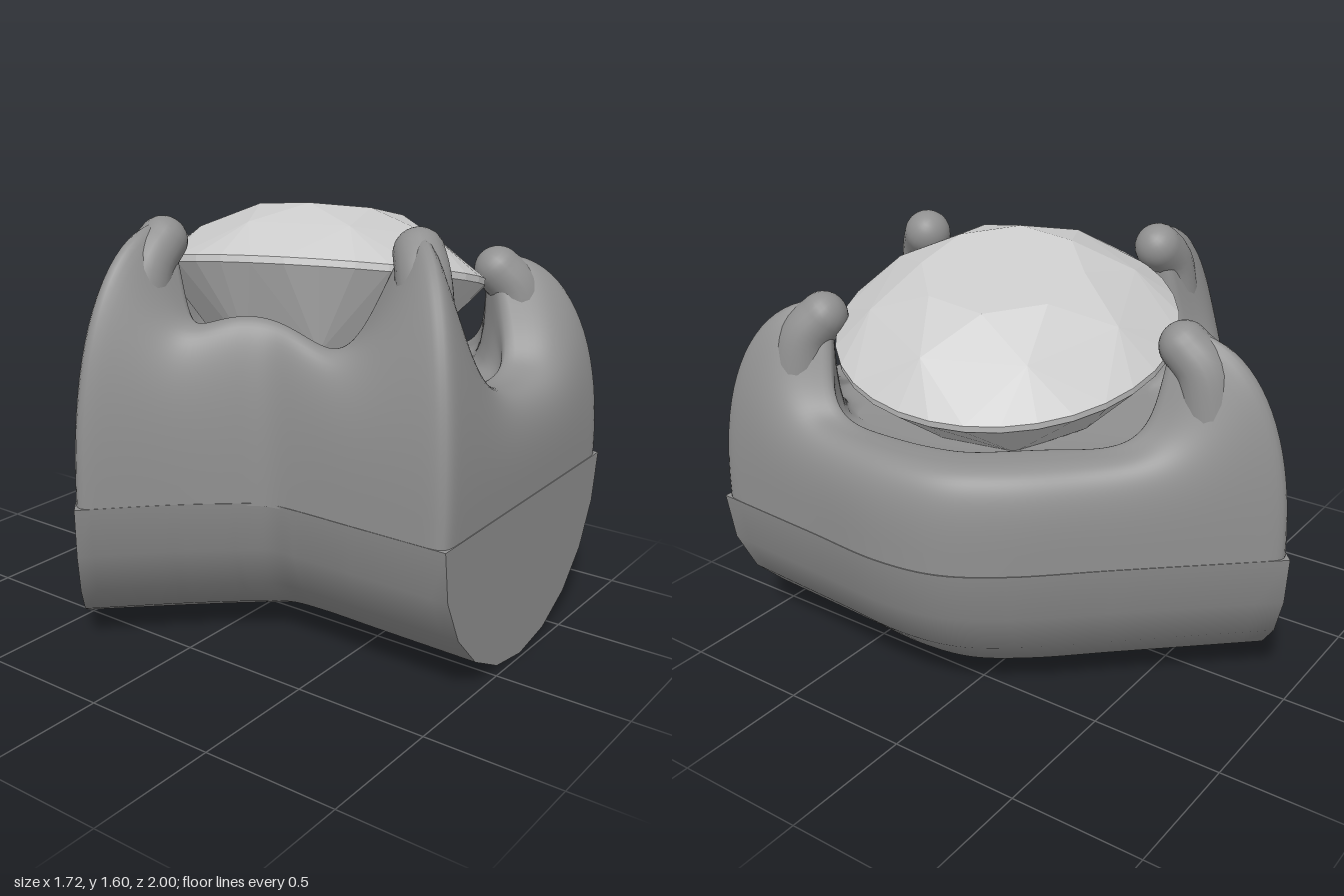
import * as THREE from 'three';
import { mergeVertices } from 'three/addons/utils/BufferGeometryUtils.js';
import { ConvexGeometry } from 'three/addons/geometries/ConvexGeometry.js';

const V = (x, y, z) => new THREE.Vector3(x, y, z);
const BASE = 0.61; // height of the seam between the lower channel and the setting
const RIM = 0.975; // height of the rim between the prongs
const CENTRE = V(0.2, 0, 0.06);

// Surface over a grid of points; faces point along (i direction) x (j direction)
function grid(ni, nj, point) {
  const pos = [], index = [];
  for (let i = 0; i <= ni; i++) {
    for (let j = 0; j <= nj; j++) {
      pos.push(...point(i, j).toArray());
      if (i === ni || j === nj) continue;
      const a = i * (nj + 1) + j, b = a + nj + 1;
      index.push(a, b, b + 1, a, b + 1, a + 1);
    }
  }
  let g = new THREE.BufferGeometry();
  g.setAttribute('position', new THREE.Float32BufferAttribute(pos, 3));
  g.setIndex(index);
  g = mergeVertices(g, 1e-5);
  g.computeVertexNormals();
  return g;
}

function part(name, geo, mat) {
  const mesh = new THREE.Mesh(geo, mat);
  mesh.name = name;
  return mesh;
}

// Plan edges of the bent channel, from the front to the back
const innerPts = [[-0.4, 0.998], [-0.4, 0.62], [-0.4, 0.38], [-0.41, 0.28], [-0.48, 0.19], [-0.62, 0.03], [-0.86, -0.2]];
const outerPts = [[0.81, 0.975], [0.84, 0.5], [0.86, 0.17], [0.82, -0.06], [0.7, -0.26], [0.46, -0.53], [0.05, -1]];
const toCurve = (pts) => new THREE.CatmullRomCurve3(pts.map(([x, z]) => V(x, 0, z)));
const inner = toCurve(innerPts), outer = toCurve(outerPts);

// Prongs: corner in plan, peak height, lean of the peak, spread at the foot
const PRONGS = [
  { name: 'frontRightProng', at: V(-0.4, 0, 0.99), peak: 1.57, lean: V(0.34, 0, -0.33), spread: 0.26 },
  { name: 'frontLeftProng', at: V(0.81, 0, 0.97), peak: 1.415, lean: V(-0.24, 0, -0.34), spread: 0.19 },
  { name: 'backProng', at: V(0.05, 0, -1), peak: 1.415, lean: V(0.06, 0, 0.41), spread: 0.22 },
  { name: 'rightProng', at: V(-0.86, 0, -0.2), peak: 1.57, lean: V(0.46, 0, 0.02), spread: 0.23 },
];
// Rim rises: one under each prong, and the raised wall at the inside of the bend
const RISES = [
  ...PRONGS.map((p) => ({ ...p, peak: p.peak - 0.02, power: 1.55 })),
  { at: V(-0.46, 0, 0.25), peak: 1.24, lean: V(0.1, 0, -0.07), spread: 0.36, power: 2 },
];

// Half-round channel swept round the bend, closed at the ends and on top
function lowerChannel(mat) {
  const group = new THREE.Group();
  group.name = 'lowerChannel';
  const N = 36, M = 10;
  const arc = (i, j) => {
    const a = (j / M) * Math.PI;
    const p = inner.getPoint(i / N).lerp(outer.getPoint(i / N), (1 - Math.cos(a)) / 2);
    return p.setY(BASE * (1 - Math.sin(a)));
  };
  const cap = (station, flip) => grid(M, 1, (i, j) => {
    const p = arc(station, flip ? M - i : i);
    return j ? p.setY(BASE) : p;
  });
  group.add(
    part('channelWall', grid(N, M, arc), mat),
    part('frontEnd', cap(0, false), mat),
    part('backEnd', cap(N, true), mat),
    part('channelTop', grid(N, 1, (i, j) => arc(i, j ? 0 : M)), mat),
  );
  return group;
}

// Evenly spaced plan outline, corners softened
function settingOutline(count) {
  const path = new THREE.CurvePath();
  const line = (a, b) => path.add(new THREE.LineCurve3(V(a[0], 0, a[1]), V(b[0], 0, b[1])));
  line(innerPts[0], outerPts[0]);
  path.add(outer);
  line(outerPts[6], innerPts[6]);
  path.add(toCurve([...innerPts].reverse()));
  let pts = path.getSpacedPoints(count).slice(0, count);
  for (let pass = 0; pass < 5; pass++) {
    pts = pts.map((p, i) => p.clone().multiplyScalar(2)
      .add(pts[(i + 1) % count]).add(pts[(i + count - 1) % count]).multiplyScalar(0.25));
  }
  return pts;
}

// Setting: one skin that climbs the wall, rolls over the rim and drops to the floor
function setting(mat) {
  const COUNT = 260, RISE = 20, FLOOR = 0.94;
  // inside of the rim: distance past the ridge, share of the height left
  const inside = [[0.02, 0.985], [0.04, 0.94], [0.05, 0.86], [0.055, 0.72], [0.055, 0.55],
    [0.06, 0.4], [0.075, 0.25], [0.1, 0.12], [0.15, 0.04], [0.22, 0]];
  const columns = settingOutline(COUNT).map((p) => {
    const toMid = CENTRE.clone().sub(p).normalize();
    const lean = V(0, 0, 0);
    let top = RIM, rest = 1;
    for (const r of RISES) {
      const w = Math.exp(-((p.distanceTo(r.at) / r.spread) ** r.power));
      top += w * (r.peak - RIM);
      lean.addScaledVector(r.lean, w);
      rest -= w;
    }
    rest = Math.max(rest, 0);
    lean.addScaledVector(toMid, 0.18 * rest);
    const foot = p.clone().addScaledVector(toMid, 0.003);
    // the low rim has a square shoulder, the prongs a round back
    const power = 0.87 - 0.3 * rest;
    const column = [];
    for (let k = 0; k <= RISE; k++) {
      const a = (k / RISE) * Math.PI / 2;
      const side = 1 - Math.max(Math.cos(a), 0) ** power;
      column.push(foot.clone().addScaledVector(lean, side)
        .setY(BASE - 0.01 + (top - BASE + 0.01) * Math.sin(a) ** power));
    }
    const ridge = column[RISE];
    for (const [d, f] of inside) {
      column.push(ridge.clone().addScaledVector(toMid, d * (0.4 + 0.6 * rest)).setY(FLOOR + (top - FLOOR) * f));
    }
    column.push(CENTRE.clone().setY(FLOOR - 0.01));
    return column;
  });
  return part('setting', grid(COUNT, columns[0].length - 1, (i, j) => columns[i % COUNT][j]), mat);
}

// Thumb-like prong: tapered sweep up the corner, bending in to a round tip
function prong({ name, at, peak, lean }, mat) {
  const N = 20, TIP = 8, SIDES = 20;
  const path = new THREE.CatmullRomCurve3(
    [[0.72, 0.88], [0.77, peak - 0.32], [0.85, peak - 0.16], [1.01, peak - 0.088]]
      .map(([f, y]) => at.clone().addScaledVector(lean, f).setY(y)));
  const { tangents, normals, binormals } = path.computeFrenetFrames(N);
  return part(name, grid(N + TIP, SIDES, (i, j) => {
    const k = Math.min(i, N), e = (Math.max(i - N, 0) / TIP) * Math.PI / 2;
    const r = THREE.MathUtils.lerp(0.125, 0.088, k / N), a = -(j % SIDES) / SIDES * Math.PI * 2;
    return path.getPointAt(k / N)
      .addScaledVector(tangents[k], r * Math.sin(e))
      .addScaledVector(normals[k], r * Math.cos(e) * Math.cos(a))
      .addScaledVector(binormals[k], r * Math.cos(e) * Math.sin(a));
  }), mat);
}

// Faceted stone, tilted in its setting
function stone() {
  const pts = [V(0, -0.6, 0)];
  const ring = (n, r, y, turn) => {
    for (let i = 0; i < n; i++) {
      const a = ((i + turn) / n) * Math.PI * 2;
      pts.push(V(r * Math.cos(a), y, r * Math.sin(a)));
    }
  };
  ring(8, 0.29, 0.23, 0.5);    // table
  ring(8, 0.47, 0.14, 0);      // crown
  ring(32, 0.61, 0.012, 0);    // girdle
  ring(32, 0.61, -0.012, 0);
  ring(8, 0.36, -0.3, 0.2);    // pavilion
  const mesh = part('stone', new ConvexGeometry(pts),
    new THREE.MeshStandardMaterial({ color: 0xcccccc, flatShading: true }));
  mesh.position.set(0.207, 1.303, 0.08);
  mesh.quaternion.setFromUnitVectors(V(0, 1, 0), V(0.245, 1, -0.1).normalize());
  return mesh;
}

export function createModel() {
  const metal = new THREE.MeshStandardMaterial({ color: 0x909090, side: THREE.DoubleSide });
  const model = new THREE.Group();
  model.name = 'stoneSetting';
  model.add(lowerChannel(metal), setting(metal), stone());
  for (const p of PRONGS) model.add(prong(p, metal));
  return model;
}
